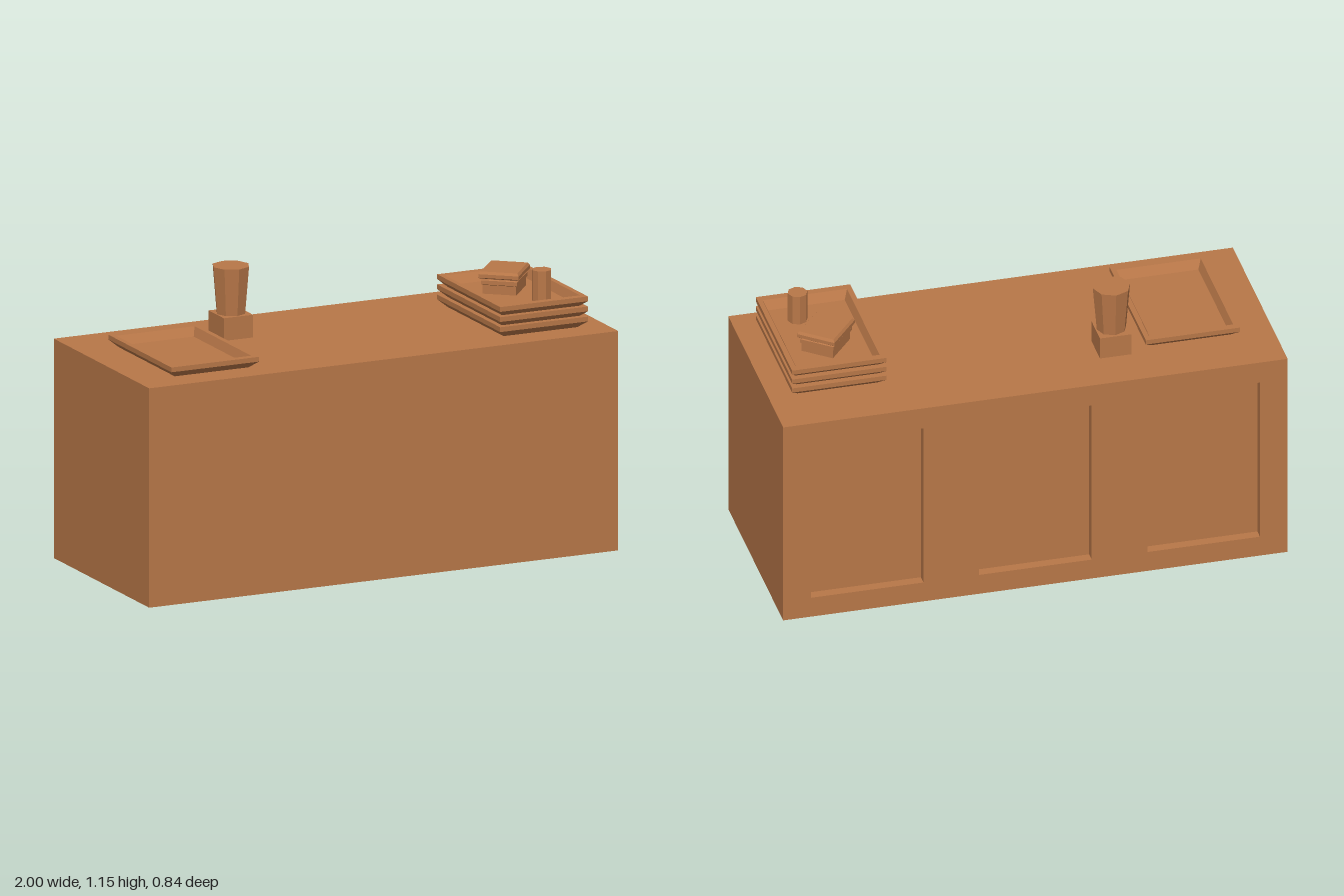
import * as THREE from 'three';

const clay = new THREE.MeshStandardMaterial({ color: 0xb87748 });
clay.name = 'clay brown';
clay.flatShading = true;

function part(parent, name, geometry, x = 0, y = 0, z = 0) {
  const mesh = new THREE.Mesh(geometry, clay);
  mesh.name = name;
  mesh.position.set(x, y, z);
  parent.add(mesh);
  return mesh;
}

// Closed solid through rectangular rings [halfX, halfZ, y], capped at both ends
function loft(rings) {
  const loops = rings.map(([hx, hz, y]) =>
    [[hx, y, hz], [hx, y, -hz], [-hx, y, -hz], [-hx, y, hz]]);
  const pos = [];
  const quad = (a, b, c, d) => pos.push(...a, ...b, ...c, ...a, ...c, ...d);
  for (let r = 0; r < loops.length - 1; r++) {
    for (let i = 0; i < 4; i++) {
      const j = (i + 1) % 4;
      quad(loops[r][i], loops[r][j], loops[r + 1][j], loops[r + 1][i]);
    }
  }
  quad(...[...loops[0]].reverse());
  quad(...loops[loops.length - 1]);
  const g = new THREE.BufferGeometry();
  g.setAttribute('position', new THREE.Float32BufferAttribute(pos, 3));
  g.computeVertexNormals();
  return g;
}

// Counter body with a panelled back
function makeCounter() {
  const g = new THREE.Group();
  g.name = 'counter';
  part(g, 'counterBody', new THREE.BoxGeometry(2, 0.87, 0.8), 0, 0.435, 0.02);

  const rect = (target, x0, x1, y0, y1) => {
    target.moveTo(x0, y0);
    target.lineTo(x1, y0);
    target.lineTo(x1, y1);
    target.lineTo(x0, y1);
    target.closePath();
    return target;
  };
  const frame = rect(new THREE.Shape(), -1, 1, 0, 0.87);
  for (const x of [-0.667, 0, 0.667]) {
    frame.holes.push(rect(new THREE.Path(), x - 0.223, x + 0.223, 0.085, 0.78));
  }
  part(g, 'backPanelFrame',
    new THREE.ExtrudeGeometry(frame, { depth: 0.04, bevelEnabled: false }), 0, 0, -0.42);
  return g;
}

// Serving tray: flared underside, flat rim, sloped inside down to the floor
const trayGeometry = loft([
  [0.157, 0.245, 0], [0.187, 0.278, 0.027], [0.187, 0.278, 0.046],
  [0.167, 0.249, 0.046], [0.152, 0.226, 0.012],
]);

export function createModel() {
  const model = new THREE.Group();
  model.name = 'kitchenCounter';
  model.add(makeCounter());

  // Single tray and stack of three
  part(model, 'singleTray', trayGeometry, -0.675, 0.87, 0.053);
  for (let i = 0; i < 3; i++) {
    part(model, 'stackedTray', trayGeometry, 0.727, 0.87 + i * 0.04, 0.053);
  }

  // Blender: square base and tapered eight-sided jug
  const blender = new THREE.Group();
  blender.name = 'blender';
  blender.position.set(-0.366, 0.87, -0.17);
  part(blender, 'blenderBase', new THREE.BoxGeometry(0.125, 0.09, 0.134), 0, 0.045, 0);
  part(blender, 'blenderJug', new THREE.CylinderGeometry(0.074, 0.058, 0.188, 8), 0, 0.184, 0);
  model.add(blender);

  // Small cup standing in the top tray
  part(model, 'cup', new THREE.CylinderGeometry(0.039, 0.039, 0.123, 8), 0.786, 1.0235, 0.187);

  // Turned box with a wider bevelled lid
  const box = new THREE.Group();
  box.name = 'foodBox';
  box.position.set(0.727, 0.962, -0.02);
  box.rotation.y = -0.686;
  part(box, 'foodBoxBase', loft([
    [0.066, 0.079, 0], [0.066, 0.079, 0.035], [0.071, 0.084, 0.038],
    [0.071, 0.084, 0.054], [0.066, 0.079, 0.057], [0.066, 0.079, 0.064],
  ]));
  part(box, 'foodBoxLid', loft([
    [0.074, 0.088, 0.062], [0.079, 0.0935, 0.066], [0.079, 0.0935, 0.08], [0.072, 0.0865, 0.09],
  ]));
  model.add(box);

  return model;
}
